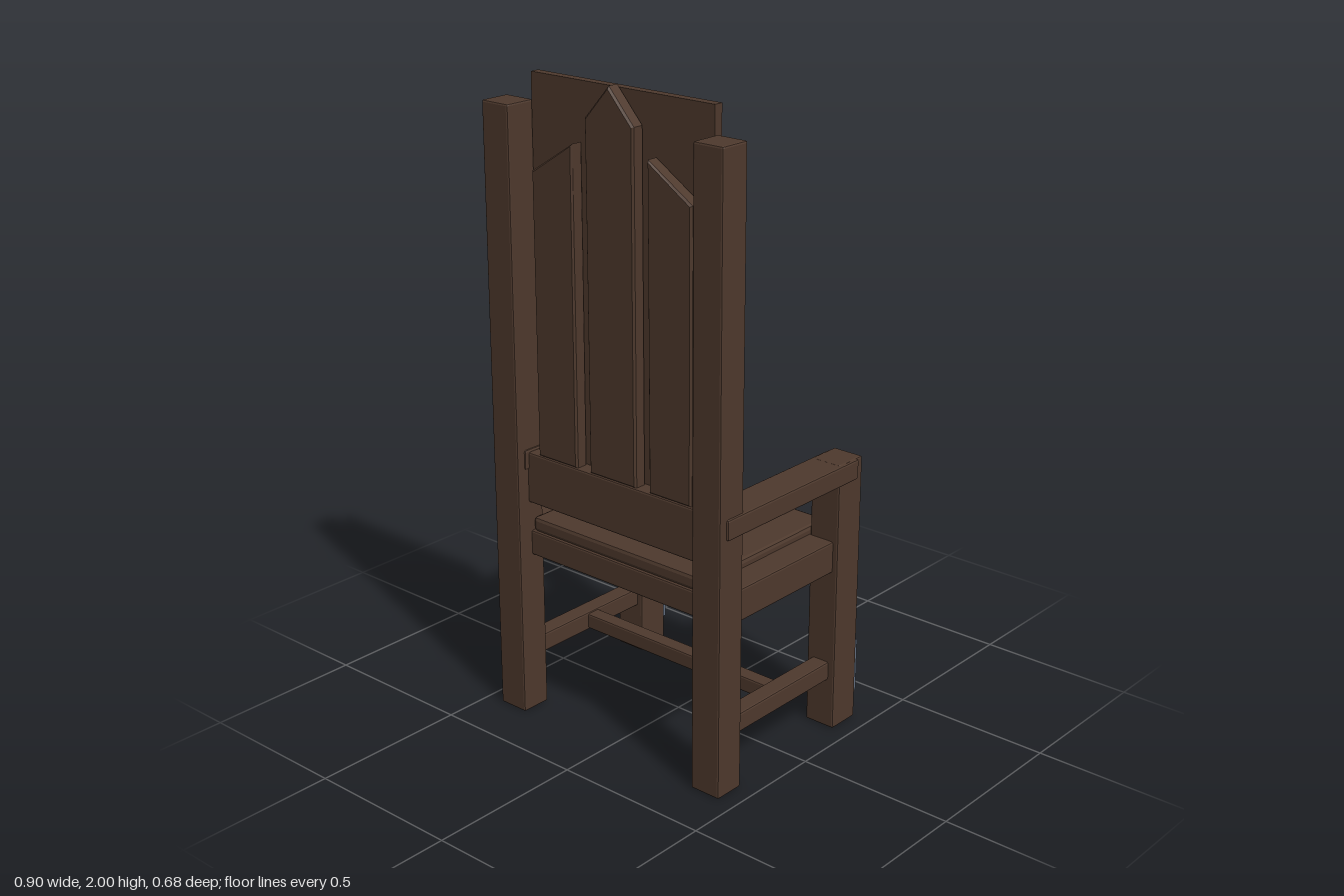
import * as THREE from 'three';
import { RoundedBoxGeometry } from 'three/addons/geometries/RoundedBoxGeometry.js';

const wood = new THREE.MeshStandardMaterial({ color: 0x4e392d, flatShading: true });
wood.name = 'darkWood';
const steel = new THREE.MeshStandardMaterial({ color: 0x606c7e, flatShading: true });
steel.name = 'blueSteel';

export function createModel() {
  const group = new THREE.Group();

  const add = (name, geometry, material = wood) => {
    const mesh = new THREE.Mesh(geometry, material);
    mesh.name = name;
    group.add(mesh);
    return mesh;
  };

  // Box given by its extents, with chamfered edges when bevel > 0
  const box = (name, [x0, x1], [y0, y1], [z0, z1], bevel = 0.006, material = wood) => {
    const size = [x1 - x0, y1 - y0, z1 - z0];
    const geometry = bevel
      ? new RoundedBoxGeometry(...size, 1, bevel)
      : new THREE.BoxGeometry(...size);
    geometry.translate((x0 + x1) / 2, (y0 + y1) / 2, (z0 + z1) / 2);
    return add(name, geometry, material);
  };

  // Upright slat with an angled top and a bevelled rear face
  const slat = (name, points) => {
    const b = 0.006;
    const shape = new THREE.Shape(points.map(([x, y]) => new THREE.Vector2(x, y)));
    const geometry = new THREE.ExtrudeGeometry(shape, {
      depth: 0.045 - 2 * b, bevelEnabled: true, bevelThickness: b,
      bevelSize: b, bevelOffset: -b, bevelSegments: 1,
    });
    geometry.translate(0, 0, 0.245 + b);
    add(name, geometry);
  };

  // Parts repeated on both sides
  for (const [side, s] of [['left', 1], ['right', -1]]) {
    const span = (a, b) => (s > 0 ? [a, b] : [-b, -a]);
    box(`${side}BackPost`, span(0.34, 0.443), [0, 1.91], [0.235, 0.335]);
    box(`${side}FrontLeg`, span(0.34, 0.443), [0, 0.868], [-0.318, -0.208]);
    box(`${side}Armrest`, span(0.335, 0.45), [0.803, 0.866], [-0.292, 0.308]);
    box(`${side}SeatRail`, span(0.33, 0.425), [0.52, 0.62], [-0.215, 0.245]);
    box(`${side}Stretcher`, span(0.36, 0.42), [0.16, 0.22], [-0.215, 0.245]);
    box(`${side}LegPlate`, span(0.357, 0.428), [0.075, 0.25], [-0.342, -0.316], 0, steel);
    slat(`${side}BackSlat`, [
      [s * 0.14, 0.855], [s * 0.298, 0.855], [s * 0.298, 1.72], [s * 0.14, 1.82],
    ]);
  }

  // Seat
  box('seatFrame', [-0.345, 0.345], [0.52, 0.6], [-0.285, 0.285]);
  box('seatBoard', [-0.337, 0.337], [0.597, 0.645], [-0.292, 0.28], 0.012);
  box('crossStretcher', [-0.37, 0.37], [0.165, 0.215], [-0.025, 0.025]);

  // Backrest
  box('backPanel', [-0.337, 0.337], [0.695, 1.99], [0.213, 0.242], 0);
  box('backRail', [-0.345, 0.345], [0.695, 0.857], [0.24, 0.293]);
  slat('centreBackSlat', [
    [-0.09, 0.855], [0.09, 0.855], [0.09, 1.9], [0, 2.0], [-0.09, 1.9],
  ]);

  return group;
}
